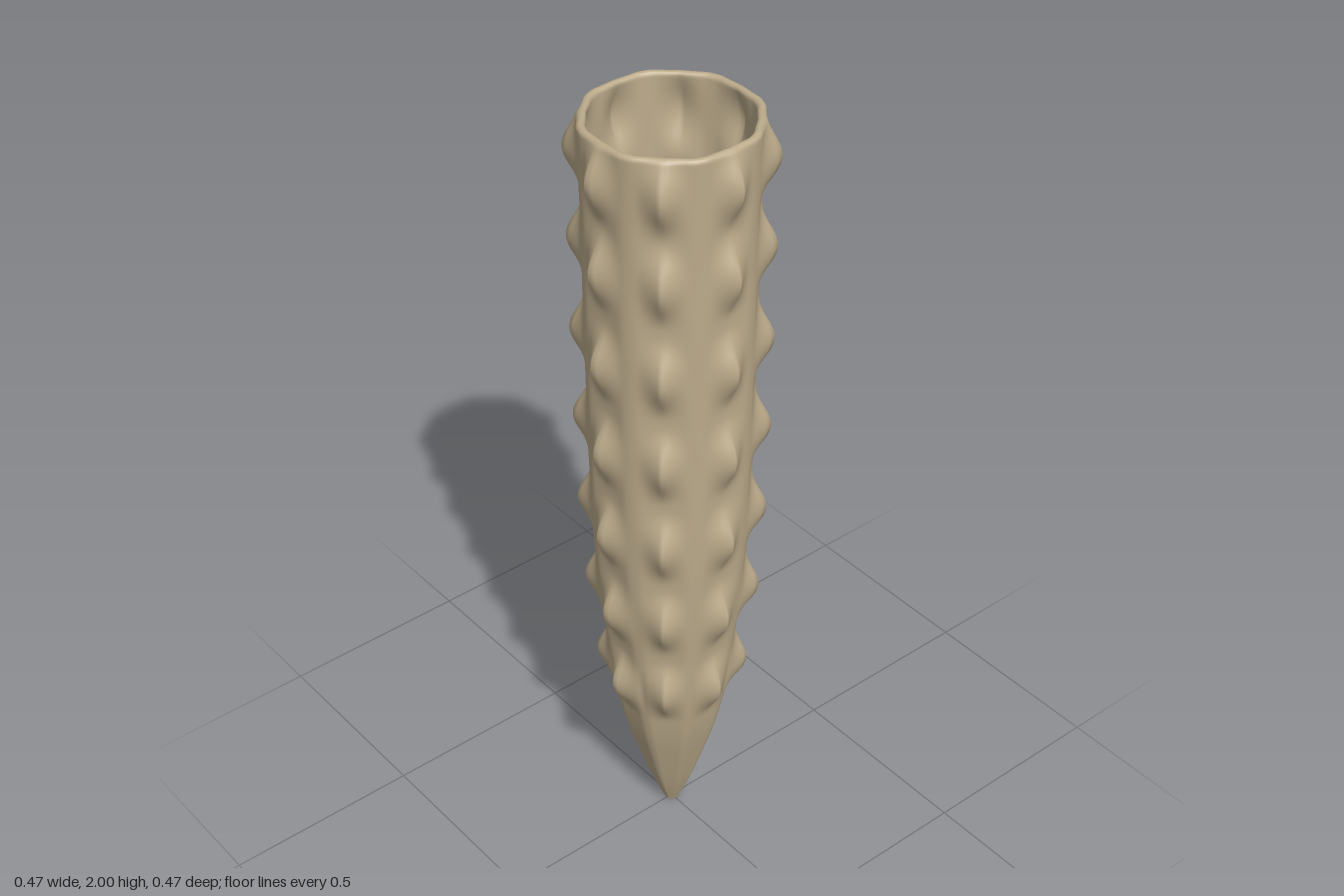
import * as THREE from 'three';

const SEGMENTS = 128;
const WALL = 0.02; // wall thickness
const FLOOR_Y = 0.29;
const STUD_ROWS = [0.49, 0.73, 0.97, 1.21, 1.45, 1.69, 1.91];

// signed angle to the nearest of the eight faces
const faceAngle = (a) => a - Math.round(a / (Math.PI / 4)) * (Math.PI / 4);

// octagon with rounded corners
const octagon = (a) => Math.min(1 / Math.cos(faceAngle(a)), 1.05);

// pointed studs, one per face in every row
function stud(a, y, r) {
  const across = Math.max(0, 1 - Math.abs(faceAngle(a)) * r / 0.058);
  let along = 0;
  for (const rowY of STUD_ROWS) {
    const d = Math.abs(y - rowY) / 0.11;
    if (d < 1) along = Math.max(along, Math.cos(d * Math.PI / 2) ** 2);
  }
  return 0.041 * Math.pow(across, 1.4) * along;
}

// each row: r = radius, y = height, studs = how strongly the studs show
function skin(rows) {
  const pos = [], index = [];
  rows.forEach(({ r, y, studs }, i) => {
    for (let j = 0; j < SEGMENTS; j++) {
      const a = (j / SEGMENTS) * Math.PI * 2;
      const R = r * octagon(a) + studs * stud(a, y, Math.max(r, 0.1));
      pos.push(R * Math.sin(a), y, R * Math.cos(a));
      if (i === rows.length - 1) continue;
      const k = (j + 1) % SEGMENTS;
      const p = i * SEGMENTS + j, q = i * SEGMENTS + k;
      index.push(p, q, q + SEGMENTS, p, q + SEGMENTS, p + SEGMENTS);
    }
  });
  const geo = new THREE.BufferGeometry();
  geo.setAttribute('position', new THREE.Float32BufferAttribute(pos, 3));
  geo.setIndex(index);
  geo.computeVertexNormals();
  return geo;
}

export function createModel() {
  const group = new THREE.Group();
  const tan = new THREE.MeshStandardMaterial({ color: 0xbcab8b });
  const add = (name, geo) => {
    const mesh = new THREE.Mesh(geo, tan);
    mesh.name = name;
    group.add(mesh);
  };

  // outer profile from the tip to just under the rim
  const profile = new THREE.SplineCurve([
    [0.016, 0], [0.05, 0.09], [0.084, 0.2], [0.112, 0.3], [0.132, 0.4], [0.145, 0.5],
    [0.156, 0.6], [0.168, 0.72], [0.177, 0.85], [0.182, 0.97], [0.185, 1.09], [0.187, 1.21],
    [0.188, 1.33], [0.189, 1.45], [0.19, 1.57], [0.19, 1.69], [0.191, 1.8], [0.193, 1.9], [0.195, 1.99],
  ].map(([r, y]) => new THREE.Vector2(r, y)));
  const outer = profile.getPoints(180).map((p) => ({ r: p.x, y: p.y, studs: 1 }));

  // rounded rim, then the hollow following the outside down to the floor
  const rim = [];
  for (let i = 1; i < 8; i++) {
    const t = (i / 8) * Math.PI;
    rim.push({ r: 0.185 + 0.01 * Math.cos(t), y: 1.99 + 0.01 * Math.sin(t), studs: 1 - i / 32 });
  }
  const inner = outer.filter((p) => p.y > FLOOR_Y).reverse()
    .map(({ r, y }) => ({ r: r - WALL, y, studs: 0.75 }));
  add('studdedShell', skin([...outer, ...rim, ...inner]));

  // flat floor of the hollow
  const last = inner[inner.length - 1];
  add('hollowFloor', skin([last, { r: 0, y: last.y, studs: 0 }]));

  // blunt end of the tip
  add('tipCap', skin([{ r: 0, y: 0, studs: 0 }, outer[0]]));

  return group;
}
